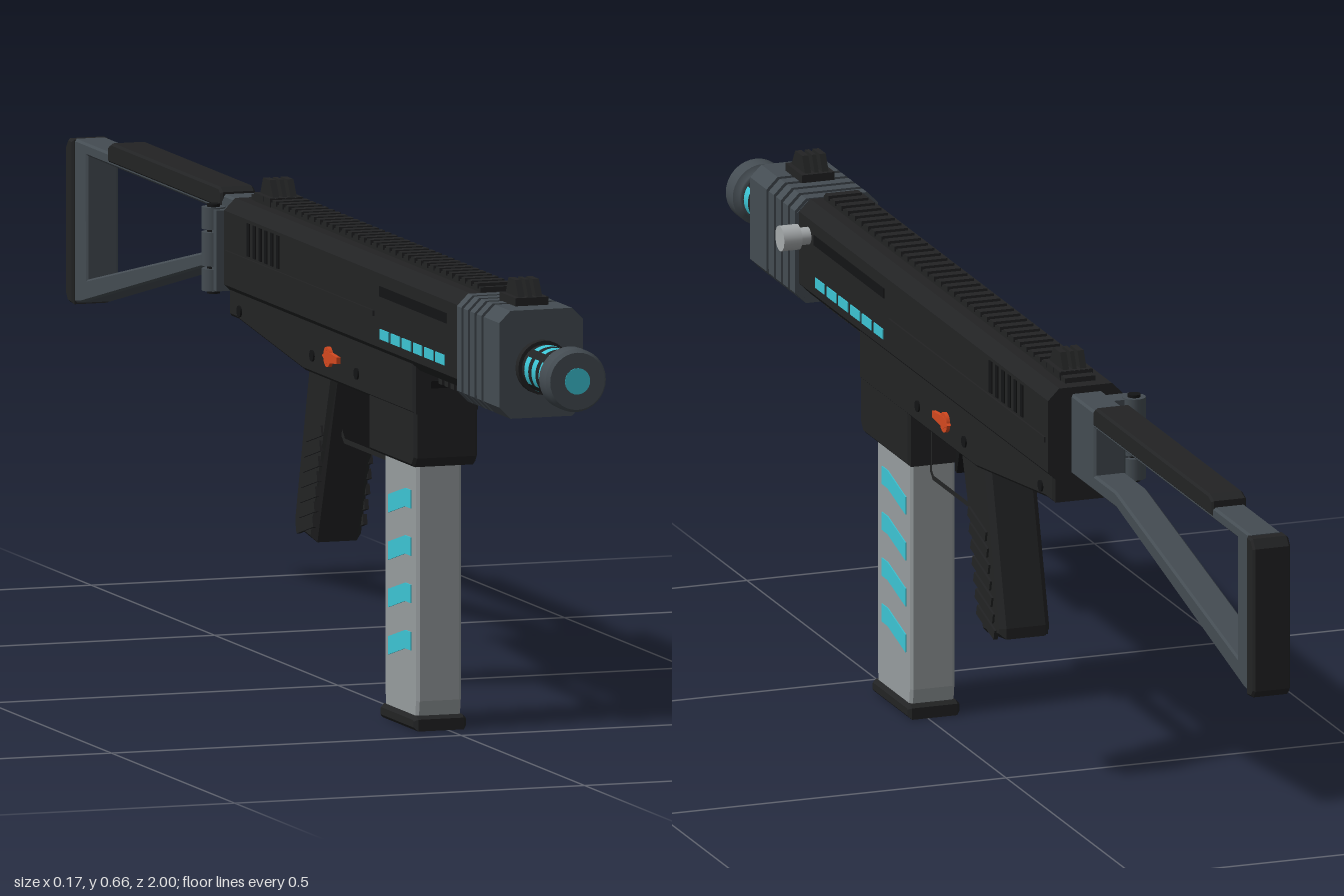
import * as THREE from 'three';

const mat = (name, color) => Object.assign(new THREE.MeshStandardMaterial({ color }), { name });

export function createModel() {
  const black = mat('black polymer', 0x222324);
  const dark = mat('dark recess', 0x131415);
  const slate = mat('slate metal', 0x444c52);
  const grey = mat('magazine grey', 0x969c9e);
  const silver = mat('silver', 0xa6aaac);
  const cyan = mat('cyan glow', 0x3cc4d4);
  const orange = mat('orange', 0xd4481f);

  const root = new THREE.Group();
  root.name = 'gun';
  const body = new THREE.Group();
  body.name = 'body';
  body.position.x = -0.01;
  root.add(body);

  const add = (name, geo, material, x = 0, y = 0, z = 0) => {
    const m = new THREE.Mesh(geo, material);
    m.name = name;
    m.position.set(x, y, z);
    body.add(m);
    return m;
  };
  const box = (name, w, h, d, material, x, y, z) =>
    add(name, new THREE.BoxGeometry(w, h, d), material, x, y, z);
  const path = (pts, Type = THREE.Shape) => new Type(pts.map(p => new THREE.Vector2(...p)));

  // side profile of [z, y] points, given a thickness along x
  const slab = (name, pts, width, material, { bevel = 0, holes = [], x = 0 } = {}) => {
    const shape = path(pts);
    shape.holes = holes.map(h => path(h, THREE.Path));
    const geo = new THREE.ExtrudeGeometry(shape, {
      depth: width - 2 * bevel, bevelEnabled: bevel > 0, bevelSize: bevel,
      bevelThickness: bevel, bevelOffset: -bevel, bevelSegments: 1,
    });
    geo.translate(0, 0, -(width - 2 * bevel) / 2);
    geo.rotateY(-Math.PI / 2);
    return add(name, geo, material, x);
  };
  // chamfered box running along z
  const prism = (name, w, y0, y1, z0, z1, c, material) => {
    const a = w / 2;
    const geo = new THREE.ExtrudeGeometry(path([
      [-a + c, y0], [a - c, y0], [a, y0 + c], [a, y1 - c],
      [a - c, y1], [-a + c, y1], [-a, y1 - c], [-a, y0 + c],
    ]), { depth: z1 - z0, bevelEnabled: false });
    return add(name, geo, material, 0, 0, z0);
  };
  const rod = (name, r, len, axis, material, x, y, z, sides = 24) => {
    const geo = new THREE.CylinderGeometry(r, r, len, sides);
    if (axis === 'x') geo.rotateZ(Math.PI / 2);
    if (axis === 'z') geo.rotateX(Math.PI / 2);
    return add(name, geo, material, x, y, z);
  };

  // muzzle and glowing barrel shroud
  const boreY = 0.551;
  const cap = new THREE.LatheGeometry([
    [0, 0.955], [0.034, 0.955], [0.034, 0.962], [0.043, 0.966], [0.043, 0.966], [0.043, 0.993],
    [0.043, 0.993], [0.039, 1], [0.039, 1], [0, 1],
  ].map(p => new THREE.Vector2(...p)), 32);
  cap.rotateX(Math.PI / 2);
  add('muzzleCap', cap, slate, 0, boreY, 0);
  rod('muzzleLens', 0.018, 0.002, 'z', cyan, 0, boreY, 0.9995);
  rod('barrelShroud', 0.032, 0.13, 'z', black, 0, boreY, 0.91);
  rod('barrelCollar', 0.037, 0.014, 'z', black, 0, boreY, 0.858);
  for (let i = 0; i < 3; i++) for (let k = 0; k < 4; k++) {
    const arc = new THREE.CylinderGeometry(0.0328, 0.0328, 0.016, 8, 1, true,
      k * Math.PI / 2 - 0.6, 1.2);
    arc.rotateX(Math.PI / 2);
    add('shroudSlot', arc, cyan, 0, boreY, 0.885 + i * 0.029);
  }

  // handguard with raised bands
  prism('handguard', 0.114, 0.485, 0.626, 0.68, 0.85, 0.016, slate);
  prism('handguardFront', 0.12, 0.482, 0.629, 0.79, 0.853, 0.016, slate);
  for (let i = 0; i < 4; i++) {
    const z = 0.681 + i * 0.027;
    prism('handguardBand', 0.12, 0.482, 0.629, z, z + 0.018, 0.016, slate);
  }

  // upper and lower receiver
  prism('upperReceiver', 0.108, 0.495, 0.628, -0.28, 0.68, 0.016, black);
  slab('lowerReceiver', [[0.468, 0.51], [0.468, 0.435], [0.02, 0.435], [-0.25, 0.468],
    [-0.28, 0.468], [-0.28, 0.51]], 0.094, black, { bevel: 0.004 });
  slab('magazineWell', [[0.468, 0.5], [0.468, 0.375], [0.458, 0.362], [0.282, 0.362],
    [0.282, 0.5]], 0.091, black, { bevel: 0.004 });
  box('wellLip', 0.046, 0.01, 0.01, dark, 0, 0.475, 0.466);

  // top rail with teeth
  box('topRail', 0.044, 0.008, 0.93, black, 0, 0.631, 0.205);
  for (let i = 0; i < 36; i++)
    box('railTooth', 0.048, 0.007, 0.014, black, 0, 0.636, 0.655 - i * 0.0255);
  // lower accessory rail
  box('lowerRail', 0.04, 0.008, 0.175, black, 0, 0.492, 0.582);
  for (let i = 0; i < 7; i++)
    box('lowerRailTooth', 0.046, 0.01, 0.014, black, 0, 0.486, 0.655 - i * 0.0245);

  // front and rear sights
  for (const z of [0.783, -0.212]) {
    box('sightBase', 0.047, 0.012, 0.064, black, 0, 0.634, z);
    for (const x of [-0.0125, 0, 0.0125])
      slab('sightBlade', [[z + 0.027, 0.638], [z - 0.027, 0.638], [z - 0.015, 0.662],
        [z + 0.012, 0.662]], x ? 0.009 : 0.006, black, { x });
  }

  // details repeated on both flanks
  for (const s of [-1, 1]) {
    for (let i = 0; i < 6; i++)
      box('sideLight', 0.003, 0.014, 0.036, cyan, s * 0.054, 0.53, 0.598 - i * 0.0452);
    box('sideSlot', 0.003, 0.014, 0.27, dark, s * 0.0535, 0.588, 0.487);
    box('sideRidge', 0.005, 0.008, 0.6, black, s * 0.054, 0.555, 0.03);
    for (let i = 0; i < 6; i++)
      box('rearVent', 0.004, 0.045, 0.01, dark, s * 0.0535, 0.585, -0.06 - i * 0.024);

    rod('selectorPivot', 0.014, 0.008, 'x', orange, s * 0.048, 0.468, 0.13, 16);
    slab('selectorLever', [[0.172, 0.473], [0.172, 0.464], [0.13, 0.46], [0.13, 0.476]],
      0.007, orange, { x: s * 0.049 });
    slab('selectorTip', [[0.13, 0.477], [0.13, 0.459], [0.112, 0.468]], 0.007, orange,
      { x: s * 0.049 });
    for (const [z, y] of [[0.24, 0.46], [0.06, 0.46], [-0.235, 0.48]])
      rod('pin', 0.008, 0.004, 'x', dark, s * 0.0475, y, z, 12);

    // slanted glowing windows of the magazine
    for (let i = 0; i < 4; i++) {
      const y = 0.325 - i * 0.0645;
      slab('magazineWindow', [[0.418, y], [0.418, y - 0.025], [0.395, y - 0.025],
        [0.326, y - 0.043], [0.326, y - 0.018], [0.395, y]], 0.003, cyan, { x: s * 0.032 });
    }
    // grip ribs
    for (let i = 0; i < 7; i++) {
      const rib = box('gripRib', 0.006, 0.014, 0.07, black, s * 0.036,
        0.35 - i * 0.0215, 0.037 - i * 0.0057);
      rib.rotation.x = -0.26;
    }
  }

  // charging knob on the left side
  rod('chargingStem', 0.012, 0.03, 'x', silver, 0.058, 0.588, 0.645);
  rod('chargingKnob', 0.0175, 0.026, 'x', silver, 0.082, 0.588, 0.645);

  // magazine
  slab('magazine', [[0.44, 0.38], [0.44, 0.04], [0.436, 0.015], [0.312, 0.015],
    [0.308, 0.04], [0.308, 0.38]], 0.064, grey, { bevel: 0.004 });
  slab('magazineBase', [[0.447, 0.018], [0.44, 0.022], [0.308, 0.022], [0.302, 0.018],
    [0.302, 0.002], [0.447, 0.002]], 0.075, black, { bevel: 0.005 }).position.y = -0.002;

  // pistol grip
  slab('grip', [[0.112, 0.445], [0.025, 0.2], [0.032, 0.188], [-0.05, 0.21], [-0.05, 0.225],
    [0.01, 0.445]].filter((p, i) => i !== 2), 0.072, black, { bevel: 0.008 });

  // trigger and guard
  slab('triggerGuard', [[0.285, 0.44], [0.285, 0.352], [0.275, 0.343], [0.09, 0.343],
    [0.07, 0.36], [0.07, 0.44]], 0.026, black, {
    holes: [[[0.278, 0.434], [0.278, 0.356], [0.271, 0.35], [0.094, 0.35], [0.08, 0.364],
      [0.08, 0.434]]],
  });
  slab('trigger', [[0.208, 0.44], [0.202, 0.405], [0.206, 0.375], [0.198, 0.373],
    [0.188, 0.405], [0.186, 0.44]], 0.014, dark);

  // folding stock
  slab('stockFrame', [[-0.285, 0.62], [-0.37, 0.62], [-0.375, 0.613], [-0.975, 0.613],
    [-0.975, 0.39], [-0.95, 0.393], [-0.46, 0.508], [-0.285, 0.508]], 0.046, slate, {
    bevel: 0.003,
    holes: [[[-0.375, 0.596], [-0.926, 0.596], [-0.926, 0.428], [-0.455, 0.53],
      [-0.375, 0.53]]],
  });
  slab('cheekPad', [[-0.375, 0.6], [-0.375, 0.622], [-0.385, 0.628], [-0.82, 0.628],
    [-0.835, 0.622], [-0.835, 0.6]], 0.05, black, { bevel: 0.003 });
  slab('buttPad', [[-0.972, 0.612], [-0.99, 0.612], [-1, 0.6], [-1, 0.4], [-0.992, 0.39],
    [-0.972, 0.388]], 0.054, black, { bevel: 0.003 });

  // stock hinge on the right side
  box('hingeLeaf', 0.05, 0.11, 0.03, slate, -0.04, 0.557, -0.295);
  for (const [y, h] of [[0.515, 0.03], [0.557, 0.046], [0.599, 0.03]])
    rod('hingeKnuckle', 0.016, h, 'y', slate, -0.06, y, -0.306, 16);
  rod('hingePin', 0.009, 0.122, 'y', dark, -0.06, 0.557, -0.306, 12);

  return root;
}
